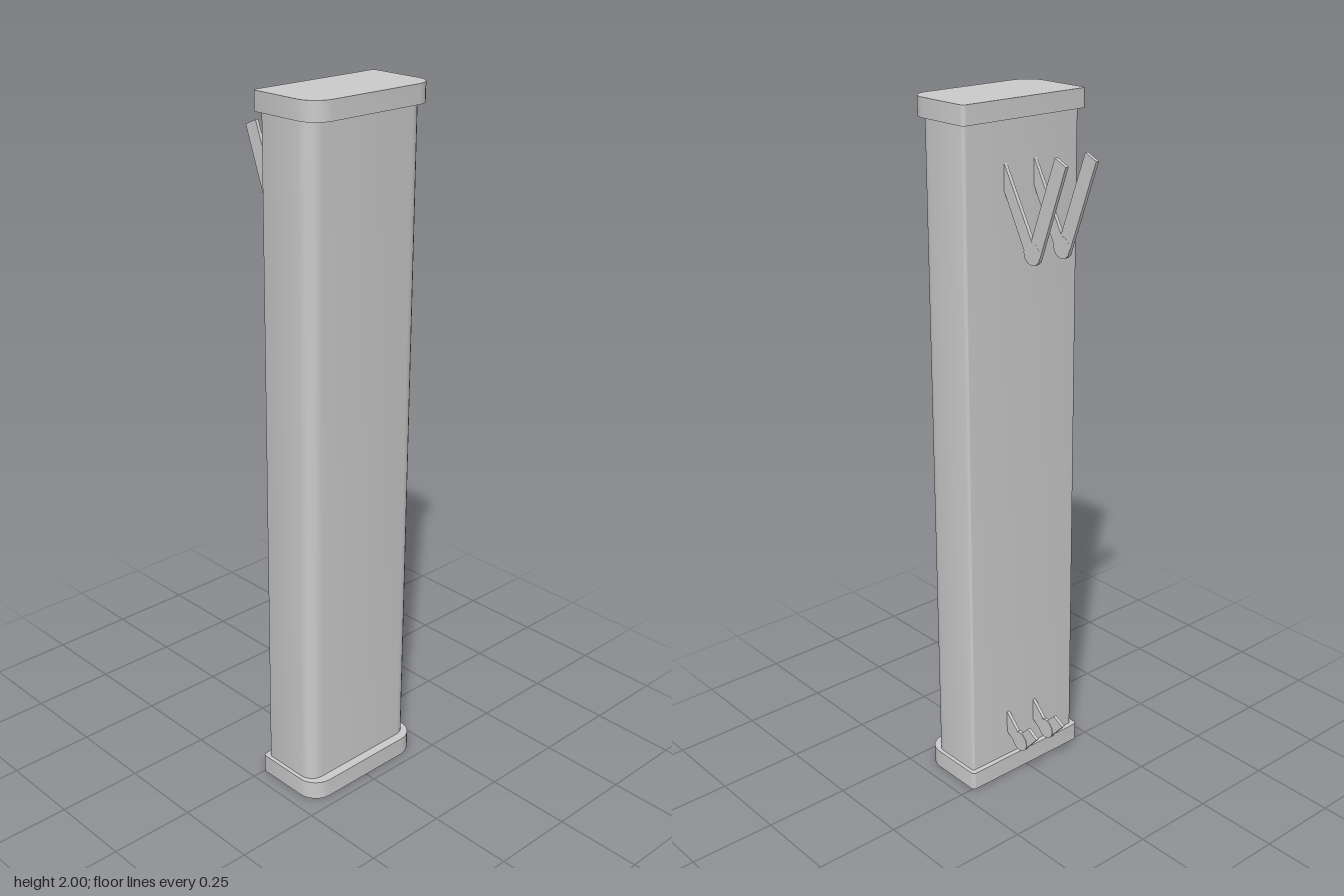
import * as THREE from 'three';
import { toCreasedNormals } from 'three/addons/utils/BufferGeometryUtils.js';

const material = new THREE.MeshStandardMaterial({ color: 0xcccccc });

function addMesh(parent, name, geometry) {
  const mesh = new THREE.Mesh(geometry, material);
  mesh.name = name;
  parent.add(mesh);
  return mesh;
}

// Upright slab: tight corners on the -x side, wide rounded corners on the +x side
function slab(x0, x1, halfDepth, small, large, y0, y1) {
  const s = new THREE.Shape();
  const corner = (x, y, r, a) => s.absarc(x, y, r, a, a + Math.PI / 2);
  corner(x1 - large, halfDepth - large, large, 0);
  corner(x0 + small, halfDepth - small, small, Math.PI / 2);
  corner(x0 + small, small - halfDepth, small, Math.PI);
  corner(x1 - large, large - halfDepth, large, Math.PI * 1.5);
  s.closePath();
  const g = new THREE.ExtrudeGeometry(s, { depth: y1 - y0, bevelEnabled: false, curveSegments: 3 });
  g.rotateX(-Math.PI / 2).translate(0, y0, 0);
  return toCreasedNormals(g, 0.6);
}

// Flat plate cut from an outline in the xy plane
function plate(points, z0, z1) {
  const shape = new THREE.Shape(points.map(([x, y]) => new THREE.Vector2(x, y)));
  return new THREE.ExtrudeGeometry(shape, { depth: z1 - z0, bevelEnabled: false }).translate(0, 0, z0);
}

// V-shaped hook: wall arm, free arm and a round knuckle where they meet
function hook(name, wallArm, freeArm, pivot, z, discShift) {
  const group = new THREE.Group();
  group.name = name;
  addMesh(group, 'wallArm', plate(wallArm, z - 0.005, z + 0.005));
  addMesh(group, 'freeArm', plate(freeArm, z - 0.0048, z + 0.0048));
  const disc = new THREE.CylinderGeometry(0.031, 0.031, 0.0114, 12).rotateX(Math.PI / 2);
  disc.translate(pivot[0], pivot[1], z + discShift);
  addMesh(group, 'knuckle', toCreasedNormals(disc, 0.6));
  return group;
}

export function createModel() {
  const model = new THREE.Group();
  model.name = 'wallPanel';

  addMesh(model, 'body', slab(0.01, 0.19, 0.196, 0.008, 0.042, 0.05, 1.955));
  addMesh(model, 'bottomCap', slab(-0.005, 0.217, 0.208, 0.01, 0.06, 0, 0.055));
  addMesh(model, 'topCap', slab(-0.005, 0.217, 0.208, 0.01, 0.06, 1.948, 2));

  // Two pairs of hooks on the -x face
  for (const z of [-0.058, 0.045]) {
    model.add(hook('upperHook',
      [[-0.115, 1.625], [-0.066, 1.624], [0.012, 1.768], [0.012, 1.84], [-0.1, 1.645]],
      [[-0.22, 1.862], [-0.127, 1.613], [-0.085, 1.63], [-0.18, 1.879]],
      [-0.096, 1.62], z, 0.0007));
    model.add(hook('lowerHook',
      [[-0.058, 0.135], [-0.028, 0.108], [0.012, 0.136], [0.012, 0.204]],
      [[-0.12, 0.167], [-0.071, 0.112], [-0.04, 0.143], [-0.082, 0.187]],
      [-0.047, 0.128], z, -0.0007));
  }
  return model;
}
